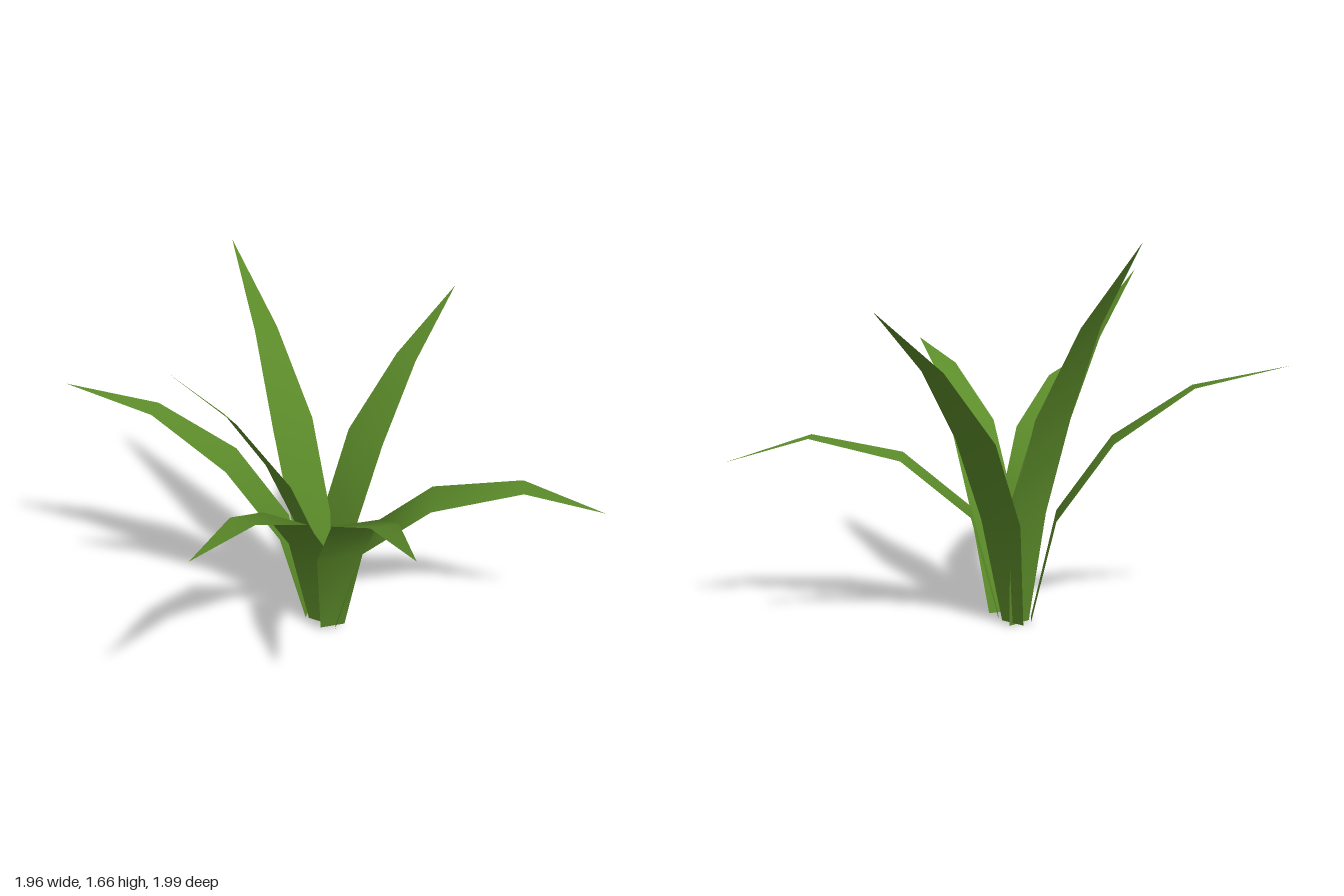
import * as THREE from 'three';

// Leaf width at each station from root to tip
const WIDTHS = [0.116, 0.21, 0.212, 0.115, 0];

// root and tip are [x, z]; profile lists [fraction of the way to the tip, height]
const LEAVES = [
  { name: 'backRightLeaf', root: [0.06, -0.115], tip: [-0.57, -1.0], profile: [[0, 0.015], [0.1, 0.48], [0.32, 0.815], [0.63, 1.045], [1, 1.135]] },
  { name: 'tallBackLeaf', root: [0.1, -0.08], tip: [0.215, -0.75], profile: [[0, 0], [0.085, 0.49], [0.305, 0.935], [0.61, 1.325], [1, 1.665]] },
  { name: 'uprightRightLeaf', root: [0.09, -0.025], tip: [-0.63, -0.19], profile: [[0, 0.015], [0.118, 0.49], [0.335, 0.875], [0.633, 1.22], [1, 1.51]] },
  { name: 'lowRightLeaf', root: [0.04, -0.015], tip: [-0.98, 0.33], profile: [[0, 0.015], [0.095, 0.49], [0.308, 0.795], [0.632, 0.99], [1, 1.05]] },
  { name: 'frontRightLeaf', root: [0.06, 0.05], tip: [-0.48, 0.99], profile: [[0, 0.015], [0.1, 0.48], [0.32, 0.82], [0.66, 1.045], [1, 1.135]] },
  { name: 'droopingFrontLeaf', root: [0.095, 0.04], tip: [0.83, 0.95], profile: [[0, 0.015], [0.1, 0.48], [0.355, 0.73], [0.69, 0.82], [1, 0.71]] },
  { name: 'leftLeaf', root: [0.14, -0.075], tip: [0.975, -0.075], profile: [[0, 0.01], [0.1, 0.475], [0.3, 0.85], [0.612, 1.165], [1, 1.42]] },
];

// Flat tapering ribbon that bends along its profile
function leafGeometry({ root, tip, profile }) {
  const start = new THREE.Vector2(...root);
  const run = new THREE.Vector2(...tip).sub(start);
  const side = new THREE.Vector2(-run.y, run.x).normalize();
  const positions = [];
  const index = [];
  profile.forEach(([t, y], i) => {
    const mid = start.clone().addScaledVector(run, t);
    // the tip is a single point
    const edges = i === profile.length - 1 ? [0] : [-0.5, 0.5];
    for (const s of edges) {
      const p = mid.clone().addScaledVector(side, s * WIDTHS[i]);
      positions.push(p.x, y, p.y);
    }
    if (i === 0) return;
    const a = (i - 1) * 2;
    index.push(a, a + 1, a + 2);
    if (edges.length === 2) index.push(a + 1, a + 3, a + 2);
  });
  const geometry = new THREE.BufferGeometry();
  geometry.setAttribute('position', new THREE.Float32BufferAttribute(positions, 3));
  geometry.setIndex(index);
  geometry.computeVertexNormals();
  return geometry;
}

export function createModel() {
  const leafGreen = new THREE.MeshStandardMaterial({ color: 0x5c8c2a, side: THREE.DoubleSide });
  leafGreen.name = 'leafGreen';

  const plant = new THREE.Group();
  plant.name = 'leafyPlant';
  for (const leaf of LEAVES) {
    const mesh = new THREE.Mesh(leafGeometry(leaf), leafGreen);
    mesh.name = leaf.name;
    plant.add(mesh);
  }
  return plant;
}
